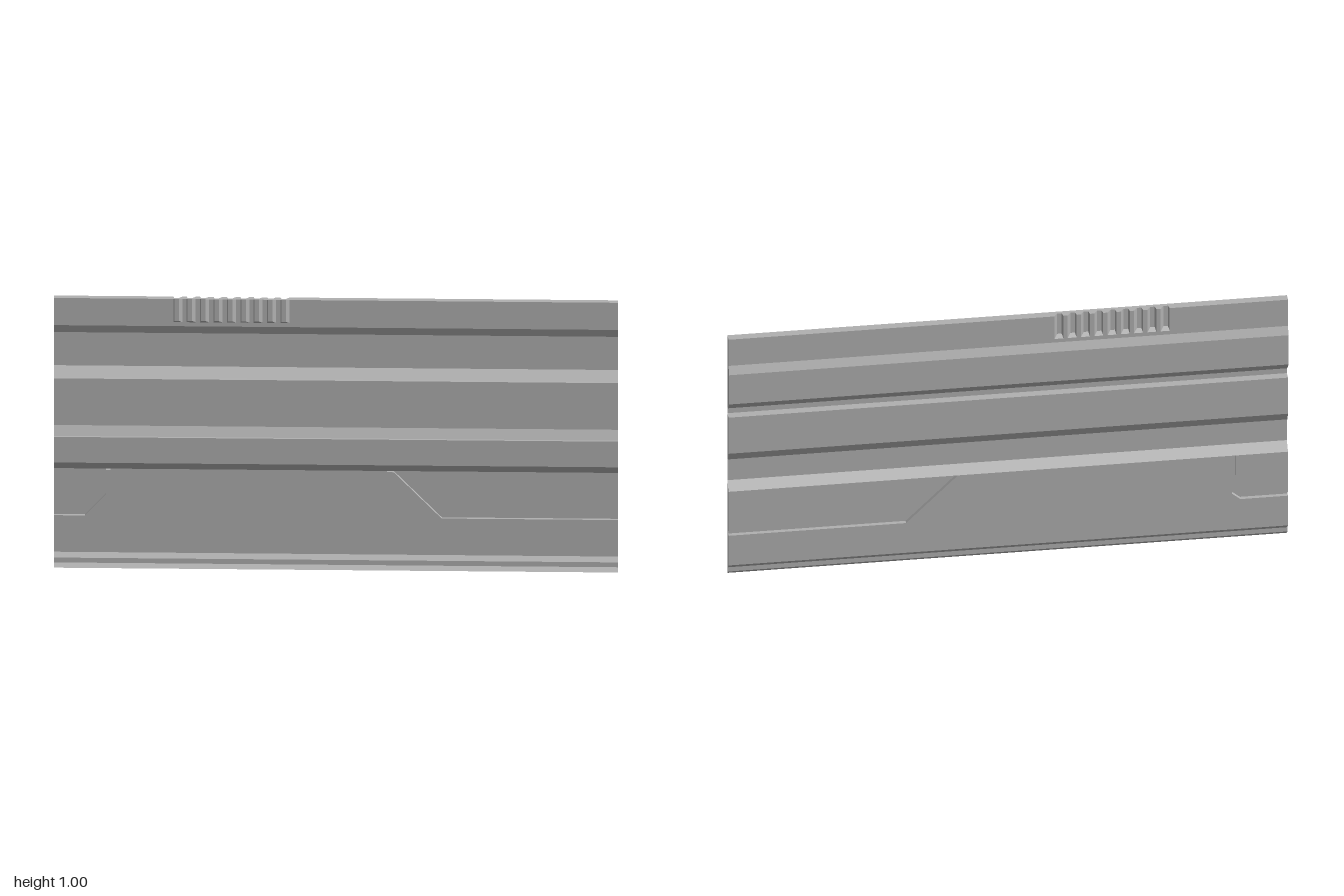
import * as THREE from 'three';

const BACK = -0.005, FRONT = 0.025, FLOOR = 0.01;
const grey = new THREE.MeshStandardMaterial({ color: 0xb0b0b0, side: THREE.DoubleSide });
grey.name = 'panelGrey';

// Collects flat polygons, each turned to face the given outward direction
class Sheet {
  constructor(name) { this.name = name; this.pos = []; }
  polygon(pts2, to3D, out) {
    const outline = pts2.map(p => new THREE.Vector2(...p));
    const corners = pts2.map(p => new THREE.Vector3(...to3D(...p)));
    const dir = new THREE.Vector3(...out);
    for (const t of THREE.ShapeUtils.triangulateShape(outline, [])) {
      const [a, b, c] = t.map(i => corners[i]);
      const n = b.clone().sub(a).cross(c.clone().sub(a));
      for (const v of n.dot(dir) < 0 ? [a, c, b] : [a, b, c]) this.pos.push(v.x, v.y, v.z);
    }
    return this;
  }
  quad(a, b, c, d) {
    for (const v of [a, b, c, a, c, d]) this.pos.push(...v);
    return this;
  }
  mesh() {
    const g = new THREE.BufferGeometry();
    g.setAttribute('position', new THREE.Float32BufferAttribute(this.pos, 3));
    g.computeVertexNormals();
    const m = new THREE.Mesh(g, grey);
    m.name = this.name;
    return m;
  }
}

const atZ = z => (x, y) => [x, y, z];
const AWAY = [0, 0, -1];

// Horizontal strips following a [y, z] profile from bottom to top
function strips(name, profile) {
  const s = new Sheet(name);
  for (let i = 0; i + 1 < profile.length; i++) {
    const [y0, z0] = profile[i], [y1, z1] = profile[i + 1];
    s.quad([1, y0, z0], [-1, y0, z0], [-1, y1, z1], [1, y1, z1]);
  }
  return s.mesh();
}

export function createModel() {
  const group = new THREE.Group();
  group.name = 'ribbedPanel';

  // Ribbed sheet: everything except the two faces with recesses
  const foot = [[0, FRONT], [0.015, FLOOR], [0.033, FLOOR], [0.05, BACK]];
  const middle = [[0.485, FRONT], [0.485, 0.013], [0.52, BACK], [0.672, BACK], [0.672, FRONT]];
  const ridge = [[0.702, FRONT], [0.702, 0.01], [0.737, -0.02], [0.86, -0.02], [0.89, BACK]];
  group.add(strips('footMoulding', foot));
  group.add(strips('ribbedSheet', [[0.36, BACK], [0.39, FRONT], ...middle, ...ridge]));

  // Lower face, divided by two grooves
  const leftOuter = [[-1, 0.175], [-0.83, 0.175], [-0.8, 0.2], [-0.8, 0.36]];
  const leftInner = [[-1, 0.19], [-0.89, 0.19], [-0.815, 0.27], [-0.815, 0.36]];
  const rightOuter = [[0.18, 0.36], [0.365, 0.175], [1, 0.175]];
  const rightInner = [[0.205, 0.36], [0.375, 0.19], [1, 0.19]];
  const lower = new Sheet('lowerFace');
  lower.polygon([[-1, 0.05], ...leftOuter, ...rightOuter, [1, 0.05]], atZ(BACK), AWAY);
  lower.polygon([...leftInner, [-1, 0.36]], atZ(BACK), AWAY);
  lower.polygon([...rightInner, [1, 0.36]], atZ(BACK), AWAY);
  group.add(lower.mesh());

  // Groove floors and walls
  for (const [name, outer, inner] of [['cornerGroove', leftOuter, leftInner], ['longGroove', rightOuter, rightInner]]) {
    const g = new Sheet(name);
    g.polygon([...outer, ...[...inner].reverse()], atZ(FLOOR), AWAY);
    const wall = ([ax, ay], [bx, by]) =>
      g.quad([ax, ay, BACK], [bx, by, BACK], [bx, by, FLOOR], [ax, ay, FLOOR]);
    for (let i = 0; i + 1 < outer.length; i++) {
      wall(outer[i], outer[i + 1]);
      wall(inner[i + 1], inner[i]);
    }
    const k = name === 'cornerGroove' ? outer.length - 1 : 0;
    wall(outer[k], inner[k]);
    group.add(g.mesh());
  }

  // Row of nine vent slots cut into the upper edge
  const upperOutline = [[-1, 1]], topOutline = [[-1, BACK]];
  const slots = new Sheet('ventSlots');
  for (let i = 0; i < 9; i++) {
    const a = -0.577 + i * 0.0475, d = a + 0.032, b = a + 0.004, c = a + 0.02;
    const y0 = 0.905, y1 = 0.915, zf = 0.012;
    upperOutline.push([a, 1], [a, y0], [d, y0], [d, 1]);
    topOutline.push([a, BACK], [b, zf], [c, zf], [d, BACK]);
    slots.quad([c, y1, zf], [b, y1, zf], [b, 1, zf], [c, 1, zf]);
    slots.quad([b, y1, zf], [a, y0, BACK], [a, 1, BACK], [b, 1, zf]);
    slots.quad([d, y0, BACK], [c, y1, zf], [c, 1, zf], [d, 1, BACK]);
    slots.quad([d, y0, BACK], [a, y0, BACK], [b, y1, zf], [c, y1, zf]);
  }
  group.add(slots.mesh());
  upperOutline.push([1, 1], [1, 0.89], [-1, 0.89]);
  topOutline.push([1, BACK], [1, FRONT], [-1, FRONT]);
  group.add(new Sheet('upperFace').polygon(upperOutline, atZ(BACK), AWAY).mesh());
  group.add(new Sheet('topEdge').polygon(topOutline, (x, z) => [x, 1, z], [0, 1, 0]).mesh());

  // End caps, with the groove notch in the lower section
  const sections = [
    [...foot, [0.175, BACK], [0.175, FLOOR], [0.19, FLOOR], [0.19, BACK], [0.36, BACK], [0.39, FRONT]],
    middle,
    [...ridge, [1, BACK], [1, FRONT]],
  ];
  for (const side of [-1, 1]) {
    const cap = new Sheet(side > 0 ? 'leftEndCap' : 'rightEndCap');
    for (const s of sections) cap.polygon(s, (y, z) => [side, y, z], [side, 0, 0]);
    group.add(cap.mesh());
  }
  return group;
}
